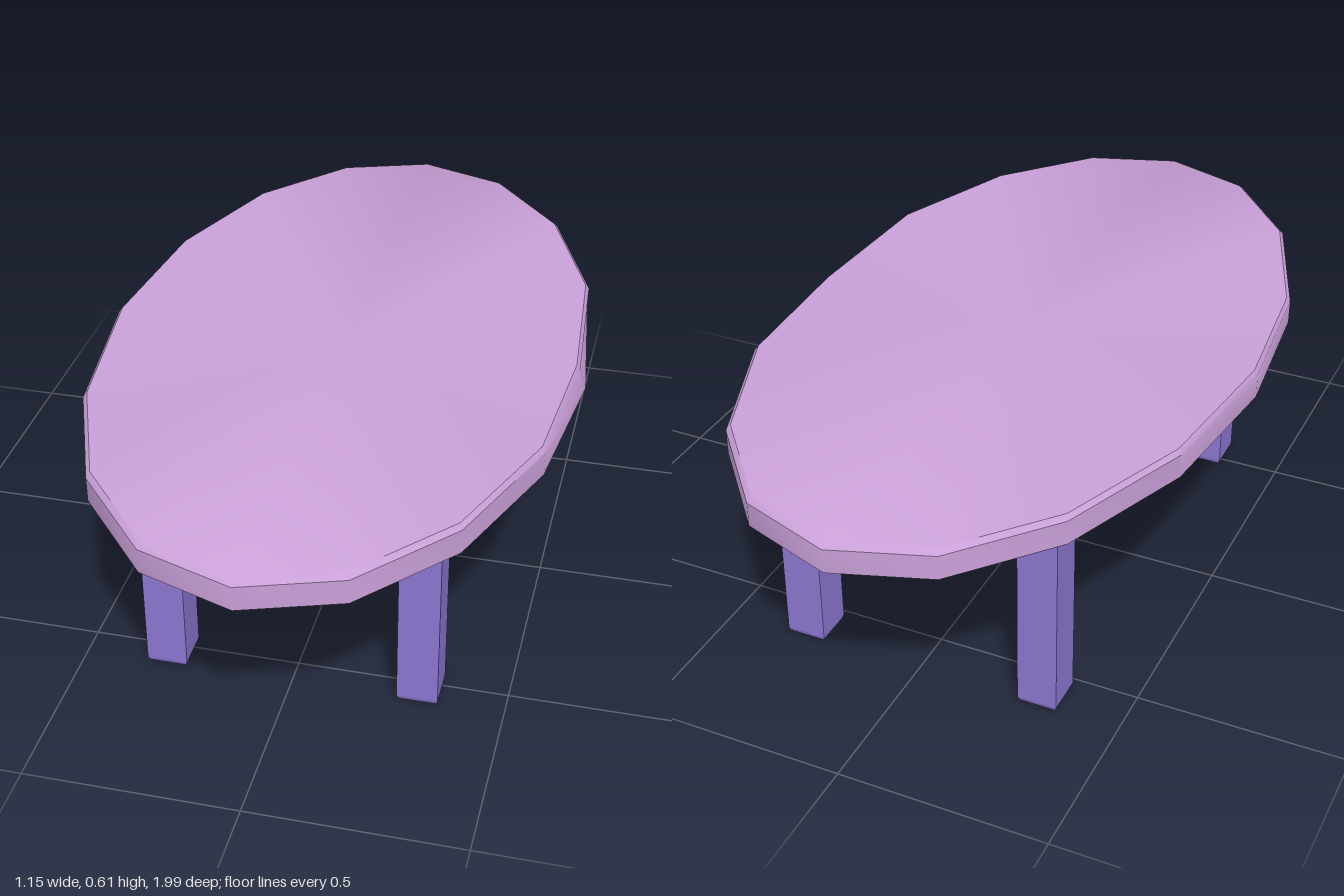
import * as THREE from 'three';
import { toCreasedNormals } from 'three/addons/utils/BufferGeometryUtils.js';

const topMaterial = new THREE.MeshStandardMaterial({ color: 0xc9a0d8 });
const legMaterial = new THREE.MeshStandardMaterial({ color: 0x8c76d0, flatShading: true });

// Sixteen-sided oval slab with small bevels and a few hand-made dents
function makeTabletop() {
  const profile = [[0, 0.535], [0.985, 0.535], [1, 0.545], [1, 0.603], [0.985, 0.614], [0, 0.614]]
    .map(([r, y]) => new THREE.Vector2(r, y));
  const geometry = new THREE.LatheGeometry(profile, 16);
  geometry.scale(0.577, 1, 0.997);
  const p = geometry.attributes.position;
  for (let i = 0; i < p.count; i++) {
    const x = p.getX(i), y = p.getY(i), z = p.getZ(i);
    // worn upper rim at the middle of the +x side
    if (x > 0.55 && y > 0.58) p.setXYZ(i, x - 0.016, y - 0.009, z);
    // sagging corner on the -x side, towards the front
    if (x < -0.5 && z > 0.3) p.setY(i, y - 0.011);
  }
  const mesh = new THREE.Mesh(toCreasedNormals(geometry, 0.7), topMaterial);
  mesh.name = 'tabletop';
  return mesh;
}

// Square post, narrowed slightly at the foot
function makeLeg(name, x, z) {
  const leg = new THREE.Group();
  leg.name = name;
  const postHeight = 0.535;
  const post = new THREE.BoxGeometry(0.096, postHeight, 0.096, 1, 2, 1);
  const p = post.attributes.position;
  for (let i = 0; i < p.count; i++) {
    const y = p.getY(i);
    if (Math.abs(y) < 0.01) p.setY(i, 0.01 - postHeight / 2);
    else if (y < 0) {
      p.setX(i, p.getX(i) * 0.93);
      p.setZ(i, p.getZ(i) * 0.93);
    }
  }
  post.translate(0, postHeight / 2, 0);
  const mesh = new THREE.Mesh(post, legMaterial);
  mesh.name = 'legPost';
  leg.add(mesh);
  leg.position.set(x, 0, z);
  return leg;
}

export function createModel() {
  const table = new THREE.Group();
  table.name = 'ovalTable';
  table.add(makeTabletop());
  for (const [end, z] of [['front', 0.522], ['back', -0.573]]) {
    table.add(makeLeg(end + 'LeftLeg', 0.298, z), makeLeg(end + 'RightLeg', -0.302, z));
  }
  return table;
}
